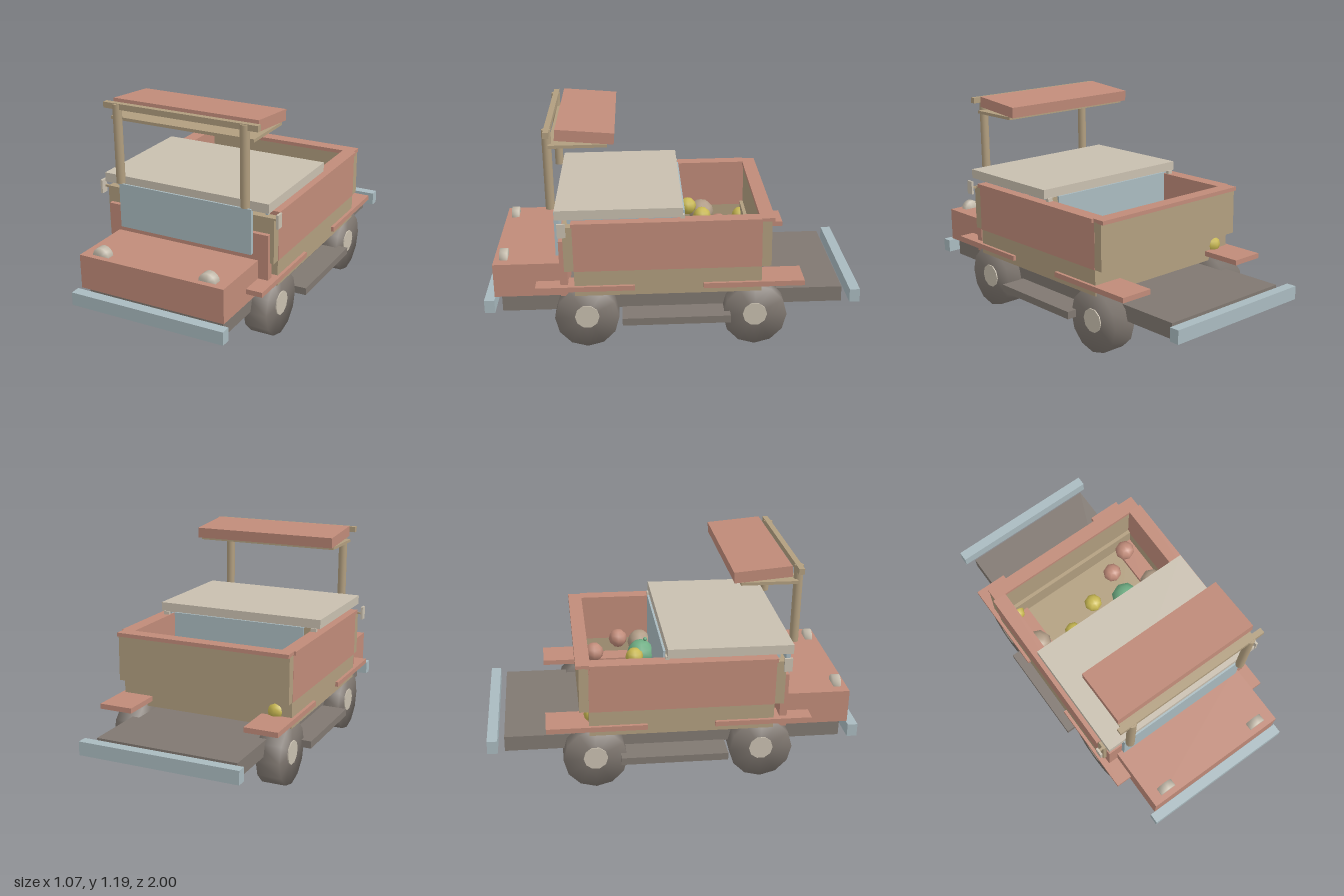
import * as THREE from 'three';
import { mergeVertices } from 'three/addons/utils/BufferGeometryUtils.js';

const mat = (name, color) => new THREE.MeshStandardMaterial({ name, color });

export function createModel() {
  const red = mat('faded red', 0xc08b79);
  const tan = mat('tan wood', 0xb19e7f);
  const grey = mat('dark grey', 0x807871);
  const cream = mat('cream', 0xc8bfaf);
  const blue = mat('pale blue', 0xa9babf);
  const green = mat('green', 0x6fae84);
  const yellow = mat('yellow', 0xc8b852);
  const brown = mat('light brown', 0xb09c86);

  const model = new THREE.Group();
  model.name = 'truck';
  // The body leans slightly forward
  const body = new THREE.Group();
  body.name = 'body';
  body.rotation.x = 0.0155;
  model.add(body);

  function add(name, geometry, material, x, y, z, parent = body) {
    const mesh = new THREE.Mesh(geometry, material);
    mesh.name = name;
    mesh.position.set(x, y, z);
    parent.add(mesh);
    return mesh;
  }
  // Box given by its limits on each axis
  function box(name, material, x0, x1, y0, y1, z0, z1) {
    return add(name, new THREE.BoxGeometry(x1 - x0, y1 - y0, z1 - z0), material,
      (x0 + x1) / 2, (y0 + y1) / 2, (z0 + z1) / 2);
  }
  // Mirrored pair of boxes
  function pair(name, material, x0, x1, ...rest) {
    box(name + 'Left', material, x0, x1, ...rest);
    box(name + 'Right', material, -x1, -x0, ...rest);
  }
  // Cylinder whose normals run smoothly over its rims
  function softCylinder(radius, length, sides) {
    const g = new THREE.CylinderGeometry(radius, radius, length, sides);
    g.deleteAttribute('normal');
    g.deleteAttribute('uv');
    const merged = mergeVertices(g);
    merged.computeVertexNormals();
    return merged;
  }

  // Chassis, bumpers and steps
  box('chassis', grey, -0.39, 0.39, 0.188, 0.272, -0.91, 0.91);
  box('frontBumper', blue, -0.44, 0.44, 0.203, 0.274, 0.945, 1.0);
  box('rearBumper', blue, -0.44, 0.44, 0.203, 0.276, -1.0, -0.945);
  pair('step', grey, 0.38, 0.535, 0.152, 0.192, -0.3, 0.27);

  // Wheels and hubs
  const tyre = softCylinder(0.17, 0.13, 12);
  const hub = new THREE.CylinderGeometry(0.065, 0.065, 0.142, 10);
  for (const [end, z] of [['front', 0.46], ['rear', -0.43]]) {
    for (const side of [1, -1]) {
      const x = side * 0.415;
      add(end + 'Wheel', tyre, grey, x, 0.172, z, model).rotation.z = Math.PI / 2;
      add(end + 'Hub', hub, cream, x, 0.177, z, model).rotation.z = Math.PI / 2;
    }
  }

  // Fenders
  pair('frontFender', red, 0.38, 0.505, 0.341, 0.368, 0.2, 0.72);
  pair('rearFender', red, 0.32, 0.505, 0.341, 0.369, -0.69, -0.16);

  // Hood, cowl and headlights
  box('hood', red, -0.415, 0.415, 0.284, 0.468, 0.58, 0.945);
  box('cowl', red, -0.47, 0.47, 0.305, 0.612, 0.55, 0.59);
  const lamp = softCylinder(0.048, 0.042, 16);
  for (const side of [1, -1]) {
    add('headlight', lamp, cream, side * 0.308, 0.466, 0.893).rotation.x = Math.PI / 2;
  }

  // Open tub: floor, lower sill, side panels and end boards
  box('floor', tan, -0.43, 0.43, 0.31, 0.335, -0.46, 0.51);
  pair('sill', tan, 0.425, 0.488, 0.31, 0.455, -0.465, 0.515);
  box('lowerRearBoard', tan, -0.43, 0.43, 0.31, 0.47, -0.465, -0.44);
  box('lowerFrontBoard', tan, -0.43, 0.43, 0.31, 0.47, 0.49, 0.515);
  pair('sidePanel', red, 0.425, 0.491, 0.45, 0.702, -0.465, 0.515);
  box('tailBoard', tan, -0.49, 0.49, 0.452, 0.702, -0.515, -0.46);
  box('frontBoard', tan, -0.49, 0.49, 0.452, 0.698, 0.51, 0.565);
  pair('sideRail', red, 0.425, 0.502, 0.698, 0.719, -0.46, 0.52);
  box('rearRail', red, -0.49, 0.49, 0.698, 0.719, -0.53, -0.455);

  // Cab glass and roof
  box('windshield', blue, -0.387, 0.387, 0.5, 0.744, 0.588, 0.612);
  box('rearWindow', blue, -0.39, 0.39, 0.42, 0.738, -0.07, -0.058);
  pair('frontSideWindow', blue, 0.43, 0.445, 0.7, 0.738, 0.17, 0.54);
  pair('rearSideWindow', blue, 0.43, 0.445, 0.7, 0.738, -0.03, 0.12);
  pair('roofPost', cream, 0.43, 0.46, 0.69, 0.738, -0.066, -0.045);
  box('roof', cream, -0.48, 0.48, 0.736, 0.786, -0.057, 0.602);

  // Side mirrors
  pair('mirrorArm', tan, 0.4, 0.518, 0.686, 0.697, 0.55, 0.562);
  pair('mirror', cream, 0.513, 0.525, 0.656, 0.73, 0.545, 0.588);

  // Raised canopy on two posts
  const post = new THREE.CylinderGeometry(0.024, 0.024, 0.425, 16);
  for (const side of [1, -1]) add('canopyPost', post, tan, side * 0.364, 0.972, 0.626);
  box('canopyBar', tan, -0.44, 0.44, 1.157, 1.188, 0.608, 0.638);
  box('canopyLining', tan, -0.41, 0.41, 1.096, 1.112, 0.32, 0.618);
  const canopy = add('canopy', new THREE.BoxGeometry(0.83, 0.058, 0.3), red, 0, 1.147, 0.45, model);
  canopy.rotation.x = -0.075;

  // Round cargo in the tub
  const cargo = [
    [yellow, 0.05, -0.395, 0.39, -0.44], [brown, 0.075, -0.395, 0.42, -0.205],
    [yellow, 0.05, -0.025, 0.54, -0.185], [yellow, 0.05, -0.21, 0.53, -0.115],
    [red, 0.052, 0.165, 0.57, -0.262], [red, 0.057, 0.35, 0.4, -0.39],
    [green, 0.08, 0.165, 0.47, -0.13], [brown, 0.07, 0.35, 0.46, -0.12],
    [green, 0.012, 0.165, 0.556, -0.105],
  ];
  for (const [material, r, x, y, z] of cargo) {
    add('cargoBall', new THREE.SphereGeometry(r, 8, 6), material, x, y, z);
  }
  return model;
}
